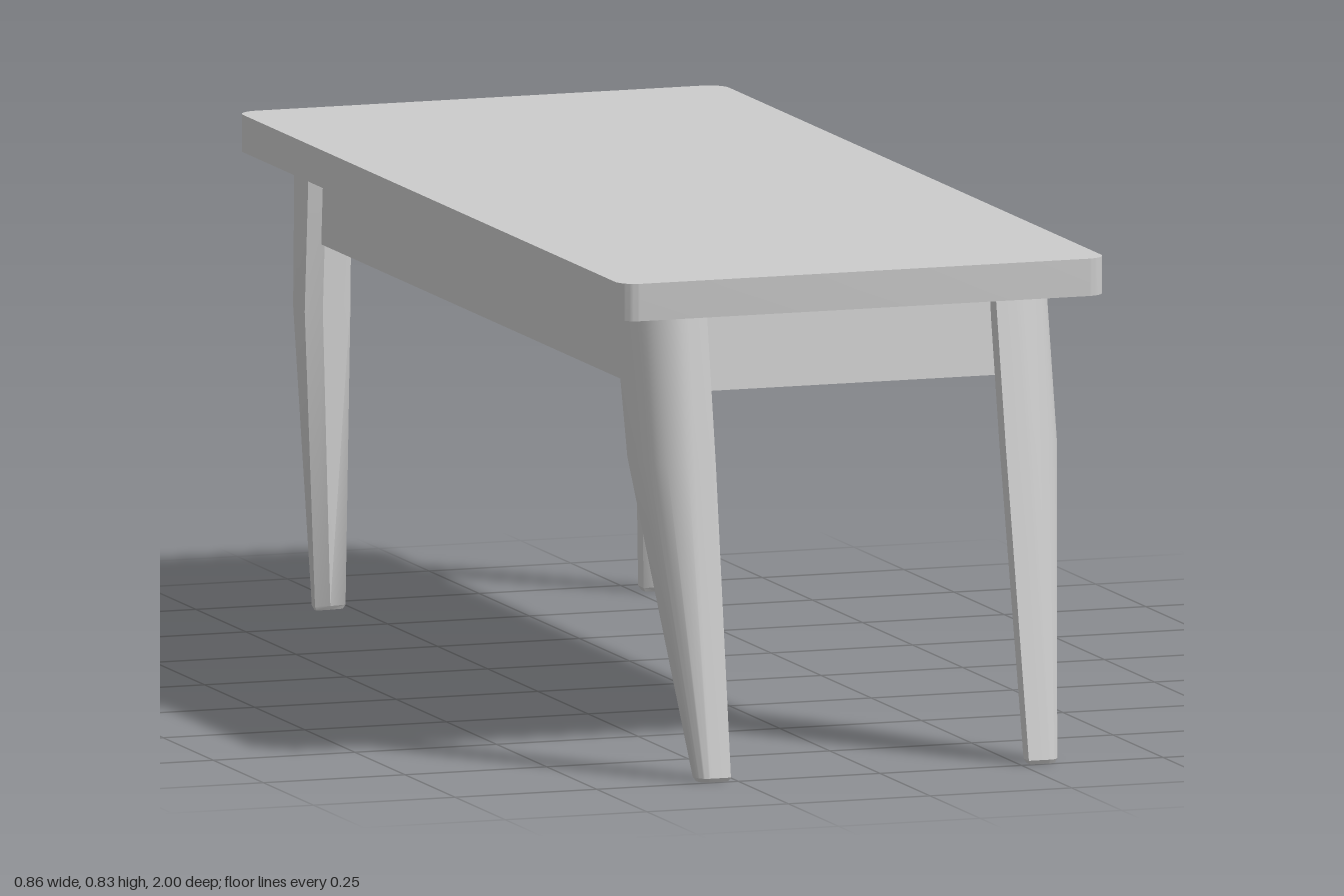
import * as THREE from 'three';
import { toCreasedNormals } from 'three/addons/utils/BufferGeometryUtils.js';

const material = new THREE.MeshStandardMaterial({ color: 0xcccccc });
const thinMaterial = new THREE.MeshStandardMaterial({ color: 0xcccccc, side: THREE.DoubleSide });

// Cross-section of a leg: rounded outer corner, two narrow ends, diagonal inner face
function legSection([y, xi, xo, zi, zo, r, t]) {
  const pts = [[xi, zo]];
  const n = 10;
  for (let i = 0; i <= n; i++) {
    const a = (i / n) * Math.PI / 2;
    pts.push([xo - r + r * Math.sin(a), zo - r + r * Math.cos(a)]);
  }
  pts.push([xo, zi], [xo - t, zi], [xi, zo - t]);
  return pts.map(([x, z]) => [x, y, z]);
}

// Loft the sections (top to bottom); z is measured outward, sx and sz place the corner
function legGeometry(levels, sx, sz) {
  const rings = levels.map(legSection);
  const n = rings[0].length;
  const last = rings.length - 1;
  const pos = rings.flat().flatMap(([x, y, z]) => [x * sx, y, z * sz]);
  const index = [];
  const tri = (a, b, c) => (sx * sz > 0 ? index.push(a, b, c) : index.push(a, c, b));
  for (let k = 0; k < last; k++) {
    for (let i = 0; i < n; i++) {
      const j = (i + 1) % n;
      const a = k * n + i, b = k * n + j, c = a + n, d = b + n;
      tri(a, c, b);
      tri(b, c, d);
    }
  }
  for (let i = 1; i < n - 1; i++) {
    tri(0, i, i + 1);
    tri(last * n, last * n + i + 1, last * n + i);
  }
  const geo = new THREE.BufferGeometry();
  geo.setAttribute('position', new THREE.Float32BufferAttribute(pos, 3));
  geo.setIndex(index);
  return toCreasedNormals(geo, 0.5);
}

export function createModel() {
  const group = new THREE.Group();
  const add = (name, geo, mat = material) => {
    const mesh = new THREE.Mesh(geo, mat);
    mesh.name = name;
    group.add(mesh);
    return mesh;
  };

  // Table top with rounded corners
  const w = 0.429, back = -1, front = 0.925, r = 0.035, under = 0.772;
  const s = new THREE.Shape();
  s.moveTo(-w + r, -front);
  s.lineTo(w - r, -front);
  s.absarc(w - r, -front + r, r, -Math.PI / 2, 0);
  s.lineTo(w, -back - r);
  s.absarc(w - r, -back - r, r, 0, Math.PI / 2);
  s.lineTo(-w + r, -back);
  s.absarc(-w + r, -back - r, r, Math.PI / 2, Math.PI);
  s.lineTo(-w, -front + r);
  s.absarc(-w + r, -front + r, r, Math.PI, Math.PI * 1.5);
  const top = new THREE.ExtrudeGeometry(s, { depth: 0.835 - under, bevelEnabled: false, curveSegments: 8 });
  top.rotateX(-Math.PI / 2);
  add('tableTop', toCreasedNormals(top, 0.5)).position.y = under;

  // Legs: y, inner x, outer x, inner z, outer z, corner radius, end thickness
  const frontLevels = [
    [under, 0.255, 0.368, 0.71, 0.857, 0.08, 0.032],
    [0.52, 0.256, 0.368, 0.78, 0.905, 0.075, 0.032],
    [0.007, 0.263, 0.319, 0.967, 1.0, 0.02, 0.027],
    [0, 0.267, 0.315, 0.971, 0.996, 0.016, 0.02],
  ];
  const backLevels = [
    [under, 0.255, 0.368, 0.81, 0.948, 0.08, 0.032],
    [0.52, 0.256, 0.368, 0.83, 0.95, 0.075, 0.032],
    [0.007, 0.263, 0.319, 0.917, 0.95, 0.02, 0.027],
    [0, 0.267, 0.315, 0.921, 0.946, 0.016, 0.02],
  ];

  // Thin apron panels between the legs
  const height = 0.138, midY = under - height / 2;
  for (const [side, sx] of [['Left', 1], ['Right', -1]]) {
    add('front' + side + 'Leg', legGeometry(frontLevels, sx, 1));
    add('back' + side + 'Leg', legGeometry(backLevels, sx, -1));
    const panel = add('side' + side + 'Apron', new THREE.PlaneGeometry(1.59, height), thinMaterial);
    panel.rotation.y = sx * Math.PI / 2;
    panel.position.set(sx * 0.342, midY, -0.04);
  }

  // The front panel leans with the splayed legs
  const frontApron = add('frontApron', new THREE.PlaneGeometry(0.54, height), thinMaterial);
  frontApron.position.set(0, midY, 0.837);
  frontApron.rotation.x = -0.14;
  const backApron = add('backApron', new THREE.PlaneGeometry(0.54, height), thinMaterial);
  backApron.position.set(0, midY, -0.92);
  backApron.rotation.y = Math.PI;
  return group;
}
